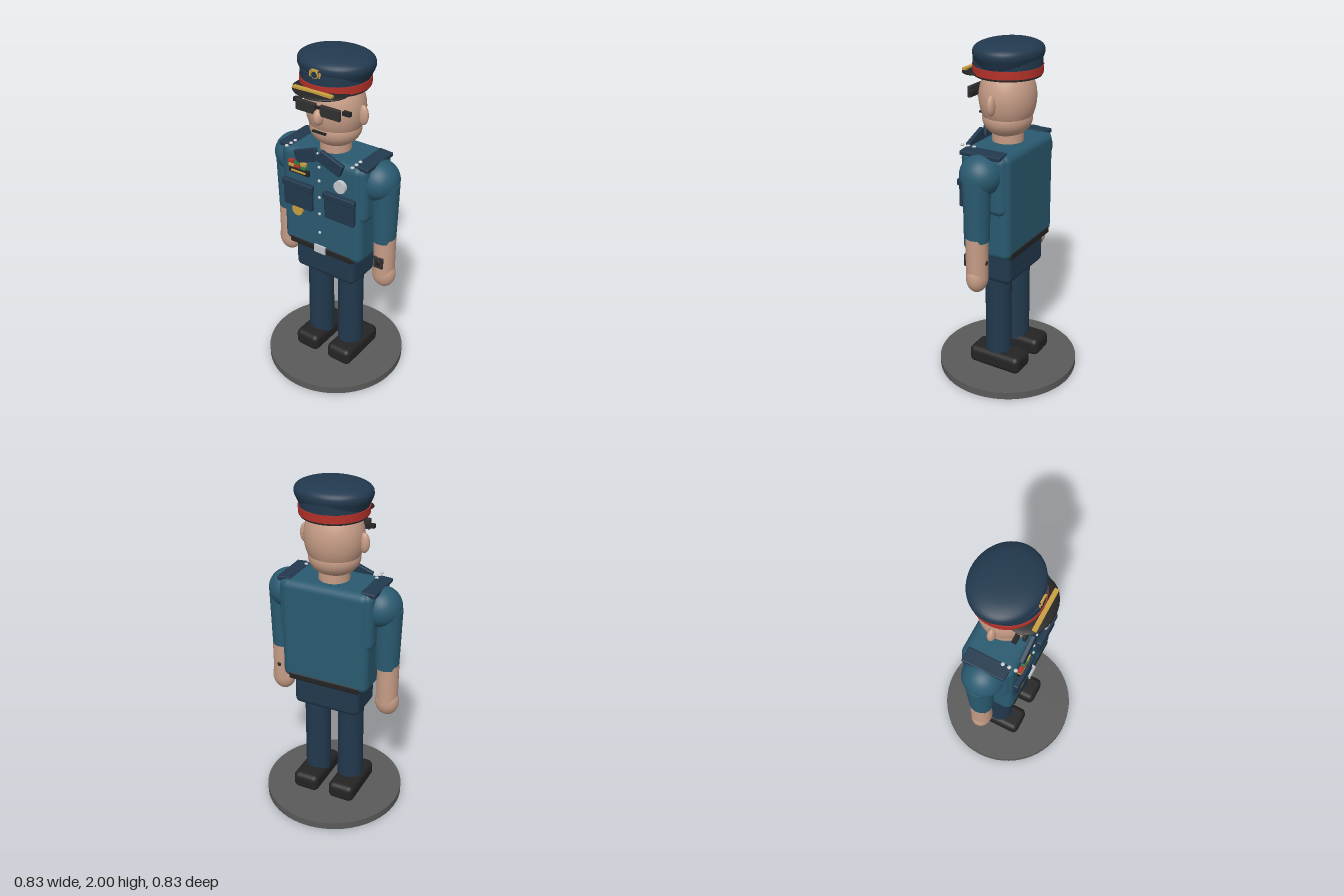
import * as THREE from 'three';
import { RoundedBoxGeometry } from 'three/addons/geometries/RoundedBoxGeometry.js';

const C = {
  teal: 0x2a5a70, navy: 0x22394e, skin: 0xc69c86, black: 0x242424, base: 0x5a5a5a,
  red: 0xb8322a, gold: 0xc9a040, silver: 0xc4c8cc, green: 0x2f7a4a, lens: 0x303030,
};
const mats = {};
for (const k in C) mats[k] = new THREE.MeshStandardMaterial({ color: C[k] });

export function createModel() {
  const model = new THREE.Group();
  model.name = 'officerFigure';

  const add = (name, geo, color, x, y, z) => {
    const m = new THREE.Mesh(geo, mats[color]);
    m.name = name;
    m.position.set(x, y, z);
    model.add(m);
    return m;
  };
  const box = (name, color, w, h, d, x, y, z, r = 0) =>
    add(name, r ? new RoundedBoxGeometry(w, h, d, 3, r) : new THREE.BoxGeometry(w, h, d), color, x, y, z);
  const cyl = (name, color, rt, rb, y0, y1, x = 0, z = 0, seg = 40) =>
    add(name, new THREE.CylinderGeometry(rt, rb, y1 - y0, seg), color, x, (y0 + y1) / 2, z);
  const ball = (name, color, rx, ry, rz, x, y, z) => {
    const m = add(name, new THREE.SphereGeometry(1, 32, 20), color, x, y, z);
    m.scale.set(rx, ry, rz);
    return m;
  };
  // Disc facing the front
  const disc = (name, color, r, depth, x, y, z) => {
    const m = add(name, new THREE.CylinderGeometry(r, r, depth, 28), color, x, y, z);
    m.rotation.x = Math.PI / 2;
    return m;
  };

  // Stand
  cyl('stand', 'base', 0.417, 0.417, 0, 0.045, 0, 0, 64);

  // Trunk
  box('hips', 'navy', 0.41, 0.2, 0.25, 0, 0.74, 0, 0.035);
  box('torso', 'teal', 0.53, 0.62, 0.305, 0, 1.13, 0, 0.045);
  box('chest', 'teal', 0.57, 0.35, 0.28, 0, 1.265, 0, 0.045);
  box('belt', 'black', 0.44, 0.045, 0.312, 0, 0.842, 0, 0.012);
  box('buckle', 'silver', 0.075, 0.048, 0.016, 0, 0.846, 0.156);

  // Limbs and paired details
  for (const s of [-1, 1]) {
    const side = s > 0 ? 'left' : 'right';
    box(side + 'Shoe', 'black', 0.165, 0.11, 0.34, s * 0.118, 0.1, -0.01, 0.035);
    cyl(side + 'Leg', 'navy', 0.077, 0.077, 0.13, 0.7, s * 0.108, 0);

    ball(side + 'Shoulder', 'teal', 0.115, 0.115, 0.117, s * 0.285, 1.325, 0);
    cyl(side + 'Sleeve', 'teal', 0.078, 0.068, 0.96, 1.32, s * 0.328, 0);
    cyl(side + 'Forearm', 'skin', 0.063, 0.062, 0.74, 0.98, s * 0.335, 0);
    ball(side + 'Hand', 'skin', 0.071, 0.09, 0.06, s * 0.335, 0.735, 0);

    // Shoulder boards with pips
    const board = box(side + 'ShoulderBoard', 'navy', 0.085, 0.025, 0.25, s * 0.252, 1.432, 0.005, 0.006);
    board.rotation.z = -s * 0.06;
    for (const z of [0.083, 0.12, 0.158]) ball(side + 'Pip', 'silver', 0.011, 0.007, 0.011, s * 0.217, 1.447, z);

    // Collar wing
    const wing = box(side + 'CollarWing', 'navy', 0.155, 0.075, 0.025, s * 0.08, 1.43, 0.16, 0.005);
    wing.rotation.z = -s * 0.36;

    // Chest pocket and flap
    box(side + 'Pocket', 'navy', 0.195, 0.155, 0.025, s * 0.14, 1.165, 0.163, 0.006);
    box(side + 'PocketFlap', 'navy', 0.207, 0.04, 0.034, s * 0.14, 1.232, 0.169, 0.008);

    // Face sides
    ball(side + 'Ear', 'skin', 0.032, 0.057, 0.022, s * 0.174, 1.675, 0);
    box(side + 'Lens', 'lens', 0.125, 0.062, 0.02, s * 0.078, 1.72, 0.16, 0.004);
    box(side + 'GlassesArm', 'black', 0.045, 0.022, 0.024, s * 0.158, 1.725, 0.125);
  }

  // Watch on the left wrist
  box('watchFace', 'lens', 0.06, 0.072, 0.014, 0.335, 0.835, 0.062, 0.004);
  ball('watchDial', 'black', 0.016, 0.02, 0.006, 0.335, 0.835, 0.068);
  ball('watchStrap', 'black', 0.03, 0.035, 0.068, 0.335, 0.835, 0);

  // Shirt buttons
  for (const y of [1.38, 1.295, 1.19, 1.085, 0.96]) ball('button', 'silver', 0.009, 0.009, 0.007, 0, y, 0.158);
  ball('collarButton', 'silver', 0.007, 0.007, 0.006, 0, 1.47, 0.17);

  // Ribbons and medals
  box('ribbonBacking', 'black', 0.135, 0.032, 0.016, -0.13, 1.318, 0.163);
  box('ribbonBar', 'gold', 0.095, 0.01, 0.02, -0.13, 1.318, 0.166);
  ['red', 'green', 'gold'].forEach((c, i) => {
    box('ribbonUpper', c, 0.034, 0.016, 0.022, -0.178 + i * 0.04, 1.37, 0.167);
    box('ribbonLower', ['gold', 'red', 'green'][i], 0.034, 0.014, 0.022, -0.178 + i * 0.04, 1.348, 0.167);
  });
  disc('silverBadge', 'silver', 0.037, 0.022, 0.145, 1.31, 0.165);
  disc('goldMedal', 'gold', 0.035, 0.018, -0.15, 1.063, 0.16);

  // Head
  cyl('neck', 'skin', 0.088, 0.088, 1.4, 1.55);
  ball('skull', 'skin', 0.17, 0.205, 0.156, 0, 1.69, 0);
  ball('jaw', 'skin', 0.148, 0.108, 0.137, 0, 1.572, 0.002);
  ball('nose', 'skin', 0.029, 0.045, 0.034, 0, 1.675, 0.157);
  box('mouth', 'black', 0.085, 0.01, 0.014, 0, 1.586, 0.153);
  box('glassesBridge', 'black', 0.04, 0.012, 0.016, 0, 1.735, 0.165);

  // Cap: sweatband, red band, upper band and flared crown
  cyl('capRim', 'black', 0.183, 0.183, 1.81, 1.83, 0, 0, 48);
  cyl('capRedBand', 'red', 0.193, 0.191, 1.822, 1.866, 0, 0, 48);
  cyl('capBand', 'navy', 0.188, 0.188, 1.86, 1.915, 0, 0, 48);
  const profile = new THREE.SplineCurve([
    [0.186, 1.862], [0.202, 1.895], [0.216, 1.932], [0.205, 1.965], [0.15, 1.988], [0.07, 1.998], [0, 2.0],
  ].map(p => new THREE.Vector2(...p))).getPoints(24);
  profile[profile.length - 1].x = 0;
  const crown = add('capCrown', new THREE.LatheGeometry(profile, 56), 'navy', 0, 0, -0.006);
  crown.scale.z = 0.86;

  // Visor with gold trim
  const visor = ball('visor', 'black', 0.165, 0.019, 0.125, 0, 1.823, 0.13);
  visor.rotation.x = 0.06;
  box('visorTrim', 'gold', 0.245, 0.012, 0.024, 0, 1.836, 0.202);

  // Cap emblem
  add('emblemRing', new THREE.TorusGeometry(0.019, 0.004, 10, 28), 'gold', 0, 1.92, 0.186);
  disc('emblemCentre', 'navy', 0.017, 0.014, 0, 1.92, 0.184);
  box('emblemTop', 'gold', 0.042, 0.008, 0.012, 0, 1.943, 0.183);
  for (const s of [-1, 1]) box('emblemLeaf', 'gold', 0.008, 0.03, 0.008, s * 0.03, 1.92, 0.183);

  return model;
}
